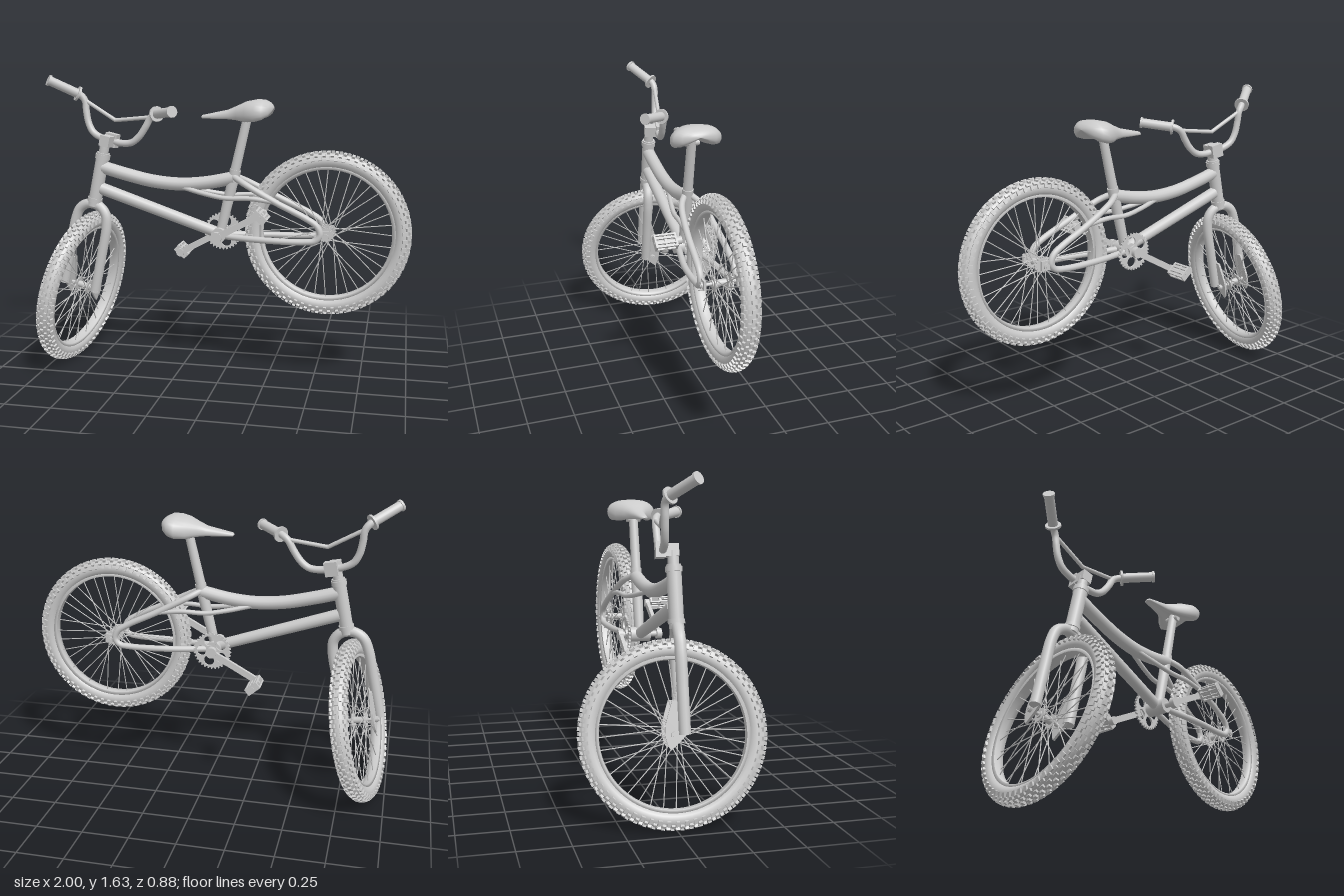
import * as THREE from 'three';
import { mergeGeometries } from 'three/addons/utils/BufferGeometryUtils.js';

const grey = new THREE.MeshStandardMaterial({ color: 0xcccccc });
const V = (p) => new THREE.Vector3(...p);
const mirrorX = (pts) => pts.map(([x, y, z]) => [-x, y, z]);

function add(parent, name, geometry, pos = [0, 0, 0]) {
  const mesh = new THREE.Mesh(geometry, grey);
  mesh.name = name;
  mesh.position.set(...pos);
  parent.add(mesh);
  return mesh;
}

function group(parent, name, pos) {
  const g = new THREE.Group();
  g.name = name;
  g.position.set(...pos);
  parent.add(g);
  return g;
}

// Straight cylinder geometry between two points
function rodGeo(a, b, r0, r1 = r0, sides = 20) {
  const from = V(a), dir = V(b).sub(from), len = dir.length();
  const g = new THREE.CylinderGeometry(r1, r0, len, sides);
  g.translate(0, len / 2, 0);
  g.applyQuaternion(new THREE.Quaternion().setFromUnitVectors(new THREE.Vector3(0, 1, 0), dir.normalize()));
  return g.translate(from.x, from.y, from.z);
}
const rod = (parent, name, a, b, r0, r1, sides) => add(parent, name, rodGeo(a, b, r0, r1, sides));

// Bent tube through points
function tube(parent, name, pts, r, segs = 48) {
  const curve = new THREE.CatmullRomCurve3(pts.map(V), false, 'centripetal');
  return add(parent, name, new THREE.TubeGeometry(curve, segs, r, 14));
}

// Knobbly wheel in the XY plane, axle along Z
function makeWheel(parent, name, pos) {
  const w = group(parent, name, pos);
  const R = 0.391, r = 0.042;
  add(w, 'tyre', new THREE.TorusGeometry(R, r, 16, 72));
  const rimProfile = [[0.346, -0.026], [0.364, -0.03], [0.364, 0.03], [0.346, 0.026], [0.342, 0], [0.346, -0.026]];
  const rim = new THREE.LatheGeometry(rimProfile.map(([x, y]) => new THREE.Vector2(x, y)), 64);
  add(w, 'rim', rim.rotateX(Math.PI / 2));
  // Tread rows: angle across the tyre, width, stagger, height
  const knobs = [];
  const rows = [[0, 0.018, 0, 0.022], [0.42, 0.014, 0.5, 0.022], [-0.42, 0.014, 0.5, 0.022], [0.85, 0.014, 0, 0.022],
    [-0.85, 0.014, 0, 0.022], [1.2, 0.024, 0.5, 0.018], [-1.2, 0.024, 0.5, 0.018]];
  const count = 62;
  for (const [phi, width, shift, height] of rows) {
    for (let i = 0; i < count; i++) {
      const g = new THREE.BoxGeometry(height, 0.017, width);
      g.translate(r, 0, 0).rotateY(-phi).translate(R, 0, 0);
      knobs.push(g.rotateZ((i + shift) / count * Math.PI * 2));
    }
  }
  add(w, 'treadKnobs', mergeGeometries(knobs));
  // Crossed spokes between the hub flanges and the rim
  const spokes = [];
  for (let i = 0; i < 36; i++) {
    const a = i / 36 * Math.PI * 2, side = i % 2 ? 1 : -1;
    const b = a + (i % 4 < 2 ? 1 : -1) * 1.1;
    spokes.push(rodGeo([0.03 * Math.cos(b), 0.03 * Math.sin(b), 0.034 * side],
      [0.35 * Math.cos(a), 0.35 * Math.sin(a), 0.008 * side], 0.0028, 0.0028, 5));
  }
  add(w, 'spokes', mergeGeometries(spokes));
  rod(w, 'hub', [0, 0, -0.045], [0, 0, 0.045], 0.018);
  rod(w, 'axle', [0, 0, -0.108], [0, 0, 0.108], 0.009);
  for (const s of [-1, 1]) {
    rod(w, 'hubFlange', [0, 0, s * 0.03], [0, 0, s * 0.038], 0.036);
    rod(w, 'axleNut', [0, 0, s * 0.088], [0, 0, s * 0.104], 0.018, 0.018, 6);
  }
  return w;
}

// Toothed disc in the XY plane
function gearGeo(radius, teeth, depth, holes) {
  const s = new THREE.Shape();
  for (let i = 0; i < teeth * 4; i++) {
    const a = i / (teeth * 4) * Math.PI * 2, q = i % 4 < 2 ? radius : radius - 0.01;
    s[i ? 'lineTo' : 'moveTo'](q * Math.cos(a), q * Math.sin(a));
  }
  for (let i = 0; i < holes; i++) {
    const a = i / holes * Math.PI * 2;
    const h = new THREE.Path();
    h.absarc(radius * 0.56 * Math.cos(a), radius * 0.56 * Math.sin(a), radius * 0.27, 0, Math.PI * 2, true);
    s.holes.push(h);
  }
  return new THREE.ExtrudeGeometry(s, { depth, bevelEnabled: false, curveSegments: 12 }).translate(0, 0, -depth / 2);
}

// Saddle lofted from sections: x, half width, bottom, top; the underside is hollowed along the middle
function saddleGeo() {
  const secs = [[-0.128, 0, 1.415, 1.415], [-0.12, 0.02, 1.407, 1.425], [-0.05, 0.031, 1.406, 1.44], [0.02, 0.042, 1.406, 1.455],
    [0.07, 0.065, 1.403, 1.477], [0.12, 0.103, 1.395, 1.5], [0.175, 0.134, 1.398, 1.511], [0.215, 0.128, 1.41, 1.51],
    [0.245, 0.092, 1.43, 1.495], [0.259, 0.05, 1.45, 1.48], [0.263, 0, 1.465, 1.465]];
  const n = 28, pos = [], idx = [];
  for (const [x, w, lo, hi] of secs) {
    const edge = lo + (hi - lo) * 0.35;
    for (let j = 0; j < n; j++) {
      const a = j / n * Math.PI * 2, sn = Math.sin(a), cs = Math.cos(a);
      const y = sn > 0 ? edge + (hi - edge) * Math.pow(sn, 0.9) : edge + (edge - lo) * 2 * sn * Math.abs(cs);
      pos.push(x, y, w * Math.sign(cs) * Math.pow(Math.abs(cs), 0.8));
    }
  }
  for (let i = 0; i < secs.length - 1; i++) for (let j = 0; j < n; j++) {
    const k = (j + 1) % n, a = i * n + j, b = i * n + k;
    idx.push(a, a + n, b, b, a + n, b + n);
  }
  const g = new THREE.BufferGeometry();
  g.setAttribute('position', new THREE.Float32BufferAttribute(pos, 3));
  g.setIndex(idx);
  g.computeVertexNormals();
  return g;
}

function makePedal(parent, pos) {
  const p = group(parent, 'pedal', pos);
  p.rotation.z = -0.7;
  for (const z of [-0.055, 0.055]) add(p, 'pedalEnd', new THREE.BoxGeometry(0.078, 0.04, 0.01), [0, 0, z]);
  for (const x of [-0.034, -0.014, 0.014, 0.034]) for (const y of [-0.015, 0.015])
    add(p, 'pedalRail', new THREE.BoxGeometry(0.01, 0.01, 0.11), [x, y, 0]);
  add(p, 'pedalBar', new THREE.BoxGeometry(0.07, 0.03, 0.012));
  rod(p, 'pedalSpindle', [0, 0, -0.062], [0, 0, 0.062], 0.01);
}

// Fork, front wheel and handlebar; Y is the steering axis, X the axle, Z rearward
function makeSteering(parent) {
  const g = group(parent, 'steering', [-0.74, 0.94, 0]);
  makeWheel(g, 'frontWheel', [0, -0.515, -0.045]).rotation.y = Math.PI / 2;
  const leg = [[0.1, -0.51, 0], [0.1, -0.3, 0], [0.098, -0.13, 0], [0.082, -0.065, 0], [0.045, -0.03, 0]];
  tube(g, 'fork', [...mirrorX(leg), [0, -0.02, 0], ...leg.reverse()], 0.028, 80);
  for (const x of [-0.1, 0.1]) rod(g, 'forkTip', [x, -0.515, 0], [x, -0.505, 0], 0.028);
  rod(g, 'forkCrown', [0, -0.03, 0], [0, 0.01, 0], 0.036);
  rod(g, 'stemPost', [0, 0.25, 0], [0, 0.34, 0], 0.027);
  rod(g, 'stemCollar', [0, 0.255, 0], [0, 0.275, 0], 0.036);
  // Dropout plates ahead of the fork tips
  const plate = new THREE.Shape();
  plate.moveTo(0.01, -0.36);
  plate.lineTo(-0.05, -0.36);
  plate.quadraticCurveTo(-0.07, -0.42, -0.085, -0.47);
  plate.quadraticCurveTo(-0.095, -0.54, -0.065, -0.585);
  plate.quadraticCurveTo(-0.02, -0.55, 0.015, -0.51);
  const plateGeo = new THREE.ExtrudeGeometry(plate, { depth: 0.012, bevelEnabled: false }).rotateY(-Math.PI / 2);
  for (const x of [-0.076, 0.088]) add(g, 'forkDropout', plateGeo, [x, 0, 0]);
  // Handlebar with its clamp, crossbar and grips
  const bar = group(g, 'handlebarAssembly', [0.012, -0.006, 0]);
  add(bar, 'stemHead', new THREE.BoxGeometry(0.058, 0.06, 0.085), [-0.008, 0.348, -0.015]);
  add(bar, 'barClamp', new THREE.BoxGeometry(0.07, 0.075, 0.045), [-0.004, 0.352, -0.06]);
  const half = [[0.06, 0.35, -0.05], [0.12, 0.368, -0.05], [0.158, 0.41, -0.05], [0.185, 0.47, -0.05],
    [0.205, 0.527, -0.05], [0.235, 0.555, -0.038], [0.37, 0.603, 0.075]];
  tube(bar, 'handlebar', [...mirrorX(half).reverse(), [0, 0.35, -0.05], ...half], 0.019, 110);
  for (const s of [-1, 1]) {
    rod(bar, 'crossbar', [0, 0.465, -0.05], [s * 0.204, 0.53, -0.05], 0.011);
    const at = (t) => [s * (0.235 + 0.142 * t), 0.555 + 0.05 * t, -0.038 + 0.119 * t];
    rod(bar, 'grip', at(0.06), at(1), 0.026);
    rod(bar, 'gripFlange', at(0.04), at(0.1), 0.042);
    rod(bar, 'gripEnd', at(0.95), at(1.01), 0.031);
  }
  add(bar, 'crossbarJoint', new THREE.SphereGeometry(0.011, 12, 8), [0, 0.465, -0.05]);
  // Tilt by the head angle and turn almost a quarter
  const up = new THREE.Vector3(0.208, 0.978, 0).normalize();
  const axle = new THREE.Vector3(0.966, -0.2055, 0.155).normalize();
  const back = axle.clone().cross(up).normalize();
  g.quaternion.setFromRotationMatrix(new THREE.Matrix4().makeBasis(axle, up, back));
}

export function createModel() {
  const root = new THREE.Group();
  root.name = 'bicycle';
  const bike = group(root, 'bike', [0, 0, 0.045]);
  makeSteering(bike);

  // Main frame
  rod(bike, 'headTube', [-0.738, 0.95, 0], [-0.687, 1.19, 0], 0.036);
  rod(bike, 'lowerHeadset', [-0.742, 0.935, 0], [-0.737, 0.957, 0], 0.041);
  rod(bike, 'upperHeadset', [-0.69, 1.175, 0], [-0.685, 1.2, 0], 0.041);
  tube(bike, 'topTube', [[-0.69, 1.13, 0], [-0.56, 1.095, 0], [-0.4, 1.06, 0], [-0.24, 1.048, 0], [-0.1, 1.06, 0], [0.05, 1.09, 0]], 0.036);
  rod(bike, 'downTube', [-0.7, 1.01, 0], [-0.03, 0.783, 0], 0.034, 0.03);
  rod(bike, 'seatTube', [-0.025, 0.78, 0], [0.06, 1.135, 0], 0.026, 0.031);
  rod(bike, 'seatPost', [0.055, 1.12, 0], [0.128, 1.435, 0], 0.027, 0.024);
  rod(bike, 'seatClamp', [0.122, 1.405, -0.038], [0.122, 1.405, 0.038], 0.018);
  add(bike, 'saddle', saddleGeo());
  rod(bike, 'bottomBracket', [-0.025, 0.78, -0.055], [-0.025, 0.78, 0.055], 0.04);
  rod(bike, 'crankAxle', [-0.025, 0.78, -0.115], [-0.025, 0.78, 0.115], 0.016);

  // Rear stays on both sides, each one looping around the axle end
  for (const s of [-1, 1]) {
    tube(bike, 'rearStay', [[0.05, 1.1, s * 0.015], [0.12, 1.065, s * 0.055], [0.3, 0.972, s * 0.082], [0.45, 0.9, s * 0.09], [0.51, 0.86, s * 0.092],
      [0.528, 0.815, s * 0.092], [0.505, 0.782, s * 0.092], [0.45, 0.772, s * 0.09], [0.25, 0.77, s * 0.08], [0.08, 0.772, s * 0.05], [-0.02, 0.776, s * 0.03]], 0.017, 90);
    tube(bike, 'curvedStay', [[-0.24, 1.035, s * 0.015], [-0.1, 1.005, s * 0.045], [0.02, 0.988, s * 0.065], [0.15, 0.992, s * 0.075], [0.29, 0.977, s * 0.081]], 0.013);
    add(bike, 'rearDropout', new THREE.BoxGeometry(0.08, 0.05, 0.012), [0.545, 0.81, s * 0.088]);
  }

  // Rear wheel and sprocket
  const rear = makeWheel(bike, 'rearWheel', [0.557, 0.805, 0]);
  add(rear, 'sprocket', gearGeo(0.045, 14, 0.008, 0), [0, 0, -0.055]);

  // Chainring, cranks and pedals
  add(bike, 'chainring', gearGeo(0.105, 32, 0.01, 5), [-0.025, 0.78, -0.078]);
  for (const s of [-1, 1]) {
    const crank = group(bike, 'crank', [-0.025, 0.78, s * 0.108]);
    const end = [s * 0.253, s * 0.14];
    const arm = add(crank, 'crankArm', new THREE.BoxGeometry(0.29, 0.034, 0.02), [end[0] / 2, end[1] / 2, 0]);
    arm.rotation.z = Math.atan2(0.14, 0.253);
    rod(crank, 'crankBoss', [0, 0, -0.014], [0, 0, 0.014], 0.03);
    rod(crank, 'pedalBoss', [...end, -0.014], [...end, 0.014], 0.022);
    makePedal(crank, [...end, s * 0.071]);
  }
  return root;
}
